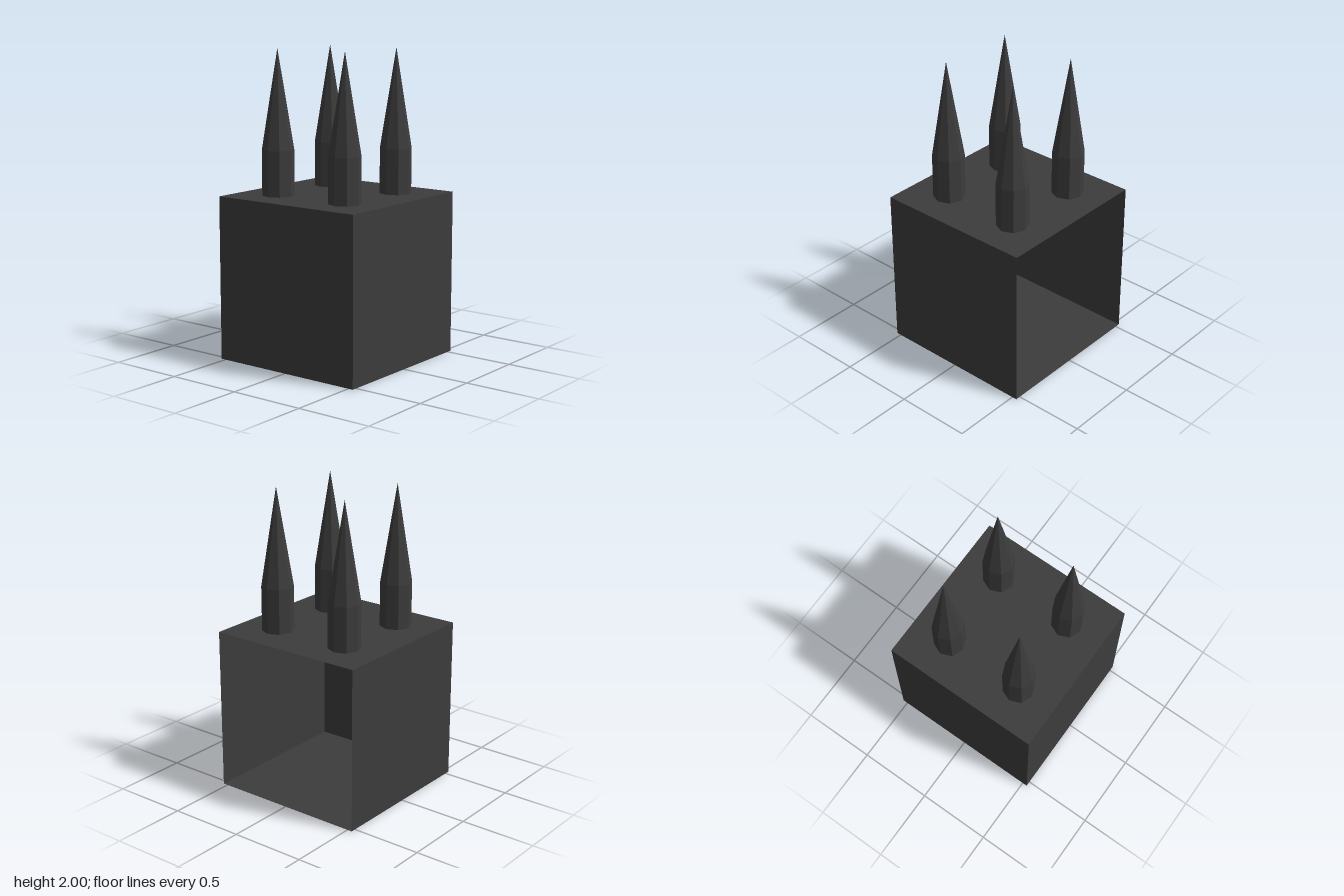
import * as THREE from 'three';

const SIZE = 1.066, HALF = SIZE / 2;
const OFFSET = 0.267, RADIUS = 0.103, SIDES = 8;
const SHOULDER = 1.36, TIP = 2;

export function createModel() {
  const model = new THREE.Group();
  const material = new THREE.MeshStandardMaterial({
    color: 0x3c3c3c, flatShading: true, side: THREE.DoubleSide,
  });

  const add = (name, geometry, x = 0, y = 0, z = 0) => {
    const mesh = new THREE.Mesh(geometry, material);
    mesh.name = name;
    mesh.position.set(x, y, z);
    model.add(mesh);
    return mesh;
  };

  // Thin box walls; the back is left open
  const wall = () => new THREE.PlaneGeometry(SIZE, SIZE);
  add('frontWall', wall(), 0, HALF, HALF);
  add('leftWall', wall(), HALF, HALF, 0).rotation.y = Math.PI / 2;
  add('rightWall', wall(), -HALF, HALF, 0).rotation.y = -Math.PI / 2;
  add('floor', wall()).rotation.x = Math.PI / 2;

  // Top panel, pierced under each hollow spike
  const panel = new THREE.Shape([
    new THREE.Vector2(-HALF, -HALF), new THREE.Vector2(HALF, -HALF),
    new THREE.Vector2(HALF, HALF), new THREE.Vector2(-HALF, HALF),
  ]);

  // Faceted spike: straight shaft with a long pointed tip
  const spike = new THREE.LatheGeometry([
    new THREE.Vector2(RADIUS, SIZE),
    new THREE.Vector2(RADIUS, SHOULDER),
    new THREE.Vector2(0, TIP),
  ], SIDES);

  for (const sx of [-1, 1]) {
    for (const sz of [-1, 1]) {
      const x = sx * OFFSET, z = sz * OFFSET;
      const rim = Array.from({ length: SIDES }, (_, i) => {
        const a = -i / SIDES * Math.PI * 2;
        return new THREE.Vector2(x + RADIUS * Math.cos(a), -z + RADIUS * Math.sin(a));
      });
      panel.holes.push(new THREE.Path(rim));
      add(`${sz > 0 ? 'front' : 'back'}${sx > 0 ? 'Left' : 'Right'}Spike`, spike, x, 0, z);
    }
  }
  add('topPanel', new THREE.ShapeGeometry(panel), 0, SIZE, 0).rotation.x = -Math.PI / 2;

  return model;
}
